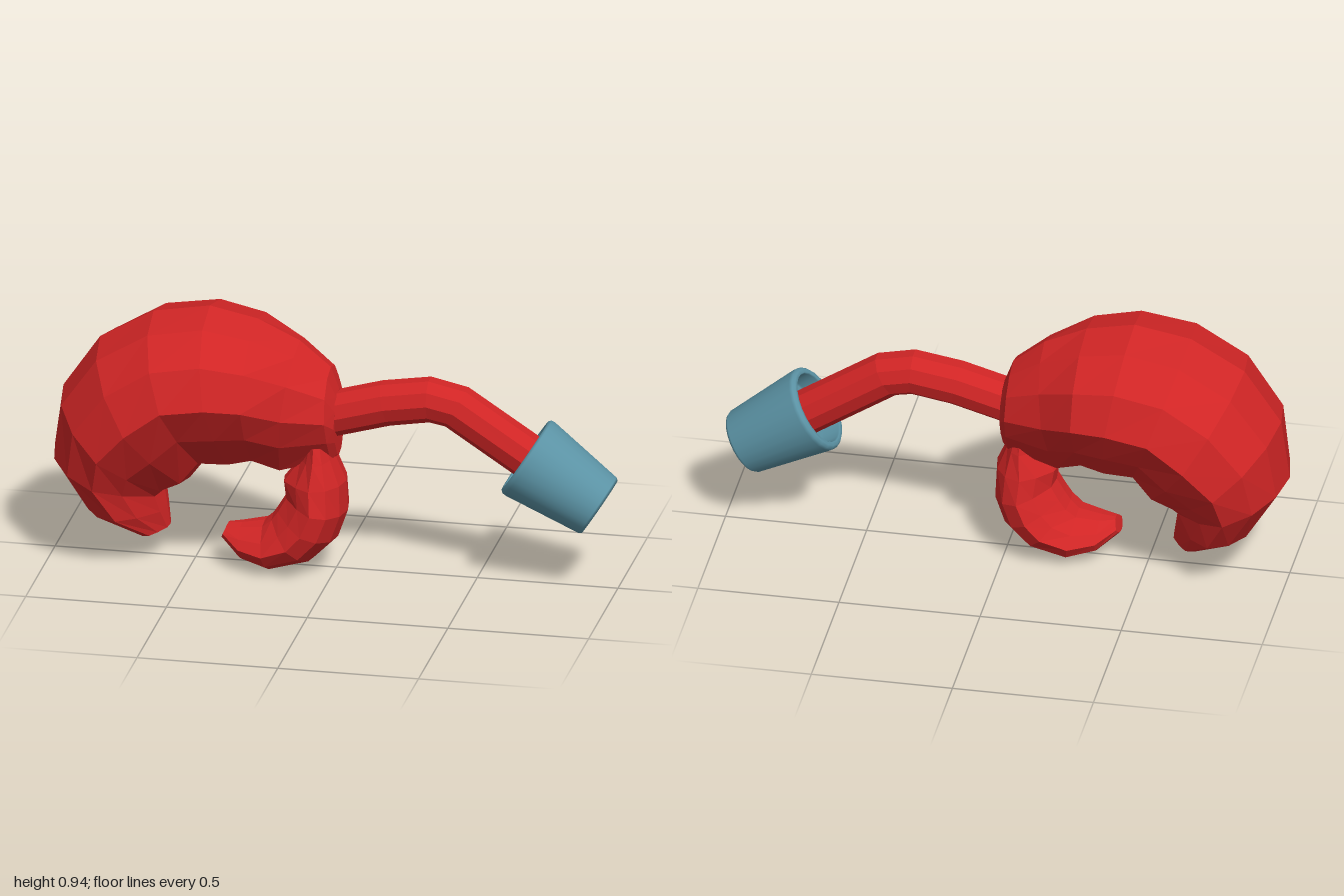
import * as THREE from 'three';

// Half cross-section: [fraction from outer edge to inner edge, fraction of half width]
const HALF = [[0.06, 0.47], [0.23, 0.84], [0.48, 1], [0.72, 0.76], [0.96, 0.36]];
const RING = [[0, 0], ...HALF, [1, 0], ...HALF.map(([t, w]) => [t, -w]).reverse()];

// Skins a row of sections [outerX, outerY, innerX, innerY, halfWidth] and caps both ends
function loft(sections, zMid) {
  const pos = [], idx = [], n = RING.length, last = sections.length - 1;
  for (const [ox, oy, ix, iy, w] of sections) {
    for (const [t, s] of RING) pos.push(ox + (ix - ox) * t, oy + (iy - oy) * t, zMid + s * w);
  }
  for (let i = 0; i < last; i++) {
    for (let j = 0; j < n; j++) {
      const k = (j + 1) % n;
      const a = i * n + j, b = i * n + k, c = b + n, d = a + n;
      idx.push(a, d, c, a, c, b);
    }
  }
  for (const i of [0, last]) {
    const [ox, oy, ix, iy] = sections[i];
    const centre = pos.length / 3;
    pos.push((ox + ix) / 2, (oy + iy) / 2, zMid);
    for (let j = 0; j < n; j++) {
      const a = i * n + j, b = i * n + (j + 1) % n;
      if (i === 0) idx.push(centre, a, b);
      else idx.push(centre, b, a);
    }
  }
  const g = new THREE.BufferGeometry();
  g.setAttribute('position', new THREE.Float32BufferAttribute(pos, 3));
  g.setIndex(idx);
  g.computeVertexNormals();
  return g;
}

// Ten-sided rod following a bent path in the xy plane
function rod(points, radius, zMid) {
  const path = new THREE.CurvePath();
  const v = points.map(([x, y]) => new THREE.Vector3(x, y, zMid));
  const sides = 10, pos = [], idx = [];
  v.forEach((p, i) => {
    const before = v[Math.max(i - 1, 0)], after = v[Math.min(i + 1, v.length - 1)];
    const dir = after.clone().sub(before).normalize();
    for (let j = 0; j < sides; j++) {
      const a = (j + 0.5) / sides * Math.PI * 2;
      const up = Math.cos(a) * radius;
      pos.push(p.x - dir.y * up, p.y + dir.x * up, p.z + Math.sin(a) * radius);
    }
  });
  for (let i = 0; i < v.length - 1; i++) {
    for (let j = 0; j < sides; j++) {
      const a = i * sides + j, b = i * sides + (j + 1) % sides;
      idx.push(a, b, b + sides, a, b + sides, a + sides);
    }
  }
  const g = new THREE.BufferGeometry();
  g.setAttribute('position', new THREE.Float32BufferAttribute(pos, 3));
  g.setIndex(idx);
  g.computeVertexNormals();
  return g;
}

export function createModel() {
  const shellRed = new THREE.MeshStandardMaterial({ color: 0xd02525 });
  shellRed.name = 'shellRed';
  shellRed.flatShading = true;
  const cuffBlue = new THREE.MeshStandardMaterial({ color: 0x5c94a6 });
  cuffBlue.name = 'cuffBlue';

  const model = new THREE.Group();
  model.name = 'clawArm';
  const add = (name, geometry, material) => {
    const mesh = new THREE.Mesh(geometry, material);
    mesh.name = name;
    model.add(mesh);
    return mesh;
  };

  // Palm and large hooked finger, from wrist to tip
  add('largeClaw', loft([
    [0.01, 0.67, 0.01, 0.43, 0.1],
    [-0.02, 0.75, -0.01, 0.41, 0.145],
    [-0.13, 0.84, -0.19, 0.36, 0.21],
    [-0.28, 0.91, -0.28, 0.40, 0.305],
    [-0.45, 0.945, -0.36, 0.38, 0.33],
    [-0.65, 0.91, -0.46, 0.38, 0.345],
    [-0.84, 0.80, -0.52, 0.30, 0.345],
    [-0.97, 0.61, -0.59, 0.27, 0.32],
    [-1.0, 0.39, -0.61, 0.25, 0.27],
    [-0.88, 0.19, -0.60, 0.19, 0.2],
    [-0.70, 0.09, -0.59, 0.12, 0.09],
  ], 0), shellRed);

  // Small curled thumb, from tip to base
  add('thumb', loft([
    [-0.40, 0.10, -0.38, 0.15, 0.05],
    [-0.32, 0.03, -0.33, 0.155, 0.11],
    [-0.22, 0.005, -0.25, 0.17, 0.155],
    [-0.07, 0.05, -0.22, 0.20, 0.175],
    [0.01, 0.13, -0.20, 0.23, 0.178],
    [0.045, 0.23, -0.17, 0.28, 0.172],
    [0.04, 0.34, -0.18, 0.34, 0.15],
    [0.0, 0.43, -0.12, 0.42, 0.12],
    [-0.02, 0.48, -0.10, 0.48, 0.1],
  ], 0.02), shellRed);

  // Bent forearm
  add('arm', rod([[-0.05, 0.57], [0.18, 0.635], [0.335, 0.66], [0.43, 0.64], [0.76, 0.425]], 0.08, 0.01), shellRed);

  // Tapered cuff with a recess where the arm enters
  const profile = [[0, 0.07], [0.12, 0.07], [0.126, 0.064], [0.128, 0.005], [0.132, 0],
    [0.145, 0], [0.153, 0.008], [0.155, 0.02], [0.118, 0.305], [0.112, 0.315], [0, 0.315]];
  const cuff = add('cuff', new THREE.LatheGeometry(profile.map(([r, y]) => new THREE.Vector2(r, y)), 24), cuffBlue);
  cuff.position.set(0.672, 0.478, 0.01);
  cuff.rotation.z = Math.atan2(-0.54, 0.84) - Math.PI / 2;

  return model;
}
